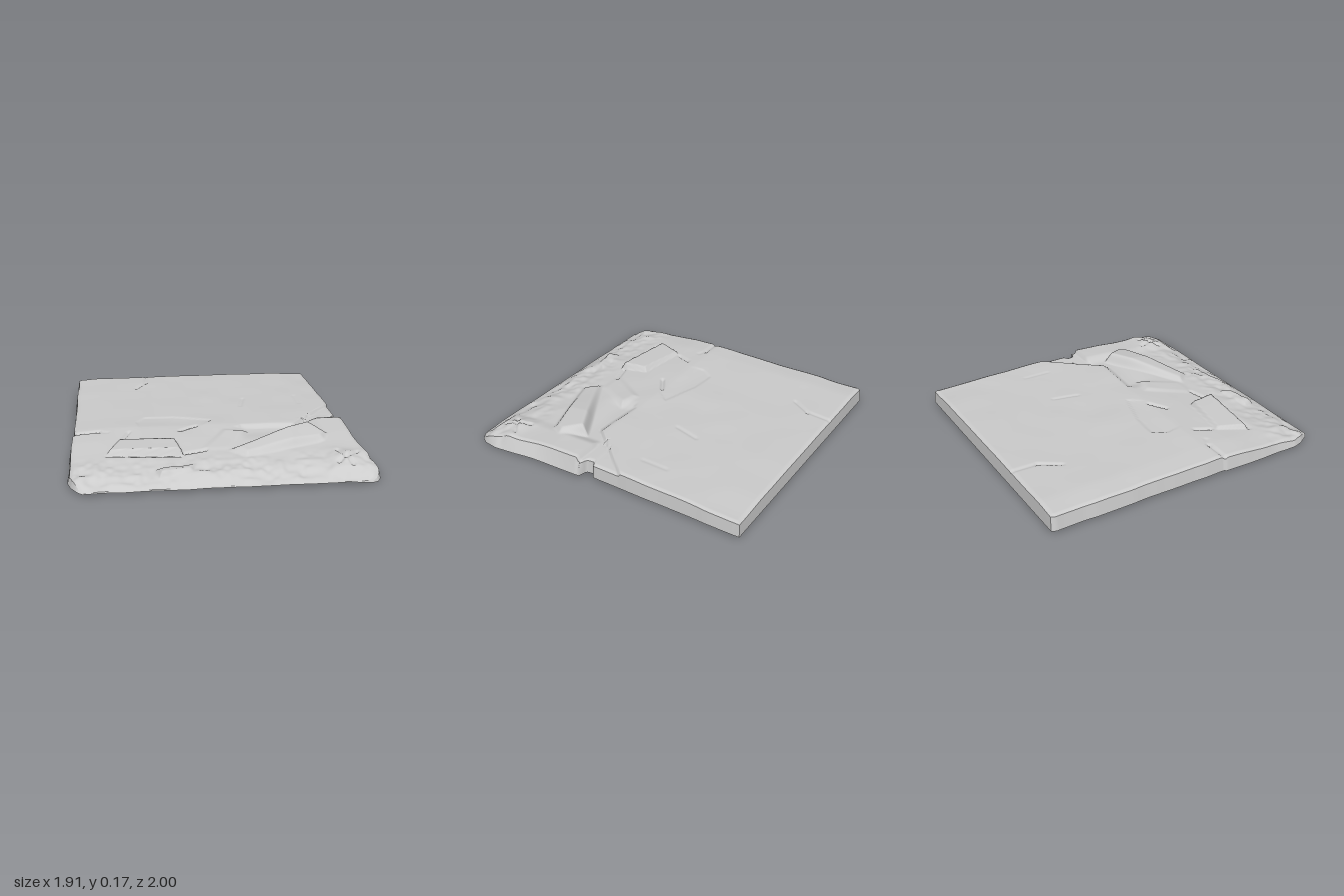
import * as THREE from 'three';

const N = 180; // grid cells per side
const lerp = THREE.MathUtils.lerp, smooth = THREE.MathUtils.smoothstep;

// piecewise linear lookup in [position, value] pairs
function table(pairs, t) {
  if (t <= pairs[0][0]) return pairs[0][1];
  for (let i = 1; i < pairs.length; i++) {
    const [a, p] = pairs[i - 1], [b, q] = pairs[i];
    if (t <= b) return lerp(p, q, (t - a) / (b - a));
  }
  return pairs[pairs.length - 1][1];
}

// smooth value noise, -1..1
function hash(i, j) {
  const s = Math.sin(i * 127.1 + j * 311.7) * 43758.5453;
  return 2 * (s - Math.floor(s)) - 1;
}
function noise(x, z) {
  const i = Math.floor(x), j = Math.floor(z);
  const a = smooth(x - i, 0, 1), b = smooth(z - j, 0, 1);
  return lerp(lerp(hash(i, j), hash(i + 1, j), a), lerp(hash(i, j + 1), hash(i + 1, j + 1), a), b);
}

// depth inside a convex polygon (corners clockwise as seen from above)
function inside(poly, x, z) {
  let d = Infinity;
  poly.forEach(([ax, az], i) => {
    const [bx, bz] = poly[(i + 1) % poly.length];
    d = Math.min(d, ((bx - ax) * (z - az) - (bz - az) * (x - ax)) / Math.hypot(bx - ax, bz - az));
  });
  return d;
}
function segmentDistance(ax, az, bx, bz, x, z) {
  const dx = bx - ax, dz = bz - az;
  const t = THREE.MathUtils.clamp(((x - ax) * dx + (z - az) * dz) / (dx * dx + dz * dz), 0, 1);
  return Math.hypot(x - ax - t * dx, z - az - t * dz);
}

// outline, back to front
const LEFT = [[-0.99, -0.935], [-0.96, -0.95], [0.25, -0.95], [0.26, -0.96], [0.83, -0.96], [0.9, -0.94], [0.97, -0.9], [1, -0.87]];
const RIGHT = [[-0.99, 0.86], [0.065, 0.87], [0.075, 0.835], [0.135, 0.845], [0.145, 0.905], [0.5, 0.925], [0.83, 0.952], [0.93, 0.94], [0.98, 0.91], [1, 0.87]];
const INSET = [[0.07, 0.008], [0.14, 0.01], [0.16, 0.03], [0.5, 0.045], [0.8, 0.04], [0.9, 0.012]];

// general fall of the surface towards the broken front
const FALL = [[-1, 0.122], [-0.3, 0.125], [0.2, 0.127], [0.4, 0.115], [0.6, 0.1], [0.8, 0.085], [0.88, 0.072], [0.95, 0.042], [1, 0.016]];
const RIGHT_BLOCK = [[0.15, 0.138], [0.4, 0.128], [0.65, 0.108], [0.82, 0.092], [0.9, 0.07], [0.96, 0.035], [1, 0.014]];

// loose stones: outline, edge width, height rule
const STONES = [
  { poly: [[-0.64, 0.42], [-0.29, 0.47], [-0.26, 0.65], [-0.71, 0.6]], edge: 0.014, top: (x, z) => 0.132 + 0.035 * (x + 0.6) + 0.01 * (0.55 - z) },
  { poly: [[0.08, 0.62], [0.61, 0.33], [0.69, 0.46], [0.66, 0.52], [0.15, 0.69]], edge: 0.035, top: (x, z) => Math.min(0.172, 0.128 + 0.13 * (x - 0.12)) - 0.16 * Math.max(0, z - 0.62 + 0.55 * (x - 0.08) - 0.03) },
  { poly: [[0.06, 0.32], [0.17, 0.34], [0.05, 0.58], [-0.1, 0.58]], edge: 0.04, top: (x, z) => 0.132 - 0.1 * (z - 0.32) },
  { poly: [[-0.42, 0.83], [-0.2, 0.8], [-0.22, 0.85], [-0.4, 0.89]], edge: 0.02, top: () => 0.096 },
];
// cracks: two ends, depth
const CRACKS = [
  [-0.96, 0.255, -0.78, 0.245, 0.012], [-0.78, 0.245, -0.72, 0.27, 0.006], [-0.62, 0.38, -0.58, 0.28, 0.012],
  [-0.24, 0.28, -0.13, 0.21, 0.014], [-0.24, 0.63, -0.1, 0.59, 0.014], [-0.72, 0.62, -0.27, 0.66, 0.01],
  [-0.41, -0.97, -0.42, -0.8, 0.007], [-0.42, -0.8, -0.5, -0.67, 0.008], [0.27, -0.33, 0.23, -0.16, 0.006],
  [0.66, -0.36, 0.66, -0.18, 0.004], [0.18, 0.235, 0.52, 0.255, 0.012], [0.72, 0.7, 0.78, 0.88, 0.014], [0.7, 0.84, 0.84, 0.74, 0.012],
];
const SHELF = [[-0.53, 0.1], [-0.47, 0.005], [-0.28, 0.015], [0, 0.1], [-0.15, 0.3], [-0.5, 0.3]];

function height(x, z) {
  let h = table(FALL, z) - 0.012 * smooth(x, 0.3, 0.86) * smooth(-z, 0.2, 1);
  h -= 0.01 * smooth(-x, 0.75, 0.96);
  h -= 0.006 * smooth(inside(SHELF, x, z), 0, 0.012) * (1 - smooth(z, 0.08, 0.25));

  // broken lip in front of the sound surface
  const lip = x < 0.52 ? 0.235 + 0.06 * (x - 0.18) : 0.255 - 1.2 * (x - 0.52);
  h -= 0.02 * smooth(z - lip, 0, 0.02) * smooth(x, 0.1, 0.22) * (1 - smooth(z, 0.3, 0.5));

  // raised corner block and the gap behind it
  const block = smooth(x, 0.62, 0.72) * smooth(z, 0.165, 0.18);
  h = lerp(h, table(RIGHT_BLOCK, z), block);
  const gap = smooth(x, 0.655, 0.67) * smooth(z, 0.065, 0.08) * (1 - smooth(z, 0.165, 0.18));
  h = lerp(h, 0.108, gap);

  for (const { poly, edge, top } of STONES) {
    const w = smooth(inside(poly, x, z), -edge, edge * 0.4);
    if (w > 0) h = lerp(h, Math.max(h, top(x, z)), w);
  }
  for (const [ax, az, bx, bz, depth] of CRACKS) {
    h -= depth * (1 - smooth(segmentDistance(ax, az, bx, bz, x, z), 0, 0.022));
  }

  // small lumps, stronger at the crumbled front
  const rough = smooth(z, 0.6, 0.85) * (1 - smooth(z, 0.93, 1));
  h += 0.003 * noise(x * 5, z * 5) + rough * (0.014 * noise(x * 9 + 4, z * 11) + 0.007 * noise(x * 24, z * 24));
  h += 0.022 * Math.exp(-(((x - 0.74) / 0.1) ** 2) - ((z - 0.78) / 0.09) ** 2);
  return h;
}

// plan position on the outline; inset 1 = upper rim, 0 = foot
function plan(u, v, inset) {
  const z0 = lerp(-0.99 + 0.006 * inset, 1 - 0.004 * inset, v);
  const wobble = 0.004 * noise(z0 * 9, 3);
  const left = table(LEFT, z0) + 0.014 * inset + wobble;
  const right = table(RIGHT, z0) - table(INSET, z0) * inset + wobble * 0.5;
  const x = lerp(left, right, u);
  const z = z0 - 0.011 * x * (1 - smooth(v, 0, 0.3)) + 0.004 * noise(x * 8, 7) * smooth(v, 0.9, 1) - 0.004 * smooth(v, 0.9, 1);
  return [x, z];
}
const foot = (x, z) => 0.015 - 0.015 * smooth(x, 0.7, 0.92) * smooth(z, 0.5, 0.85);
function rimHeight(u, v) {
  const [x, z] = plan(u, v, 1);
  const edge = Math.min(u, 1 - u, v) * 1.85;
  return Math.max(foot(x, z) + 0.004, height(x, z) - 0.008 * (1 - smooth(edge, 0, 0.022)));
}

function sheet(positions, rows, cols, material, name) {
  const index = [];
  for (let j = 0; j < rows - 1; j++) for (let i = 0; i < cols - 1; i++) {
    const a = j * cols + i, b = a + 1, c = a + cols, d = c + 1;
    index.push(a, c, b, b, c, d);
  }
  const g = new THREE.BufferGeometry();
  g.setAttribute('position', new THREE.Float32BufferAttribute(positions, 3));
  g.setIndex(index);
  g.computeVertexNormals();
  const mesh = new THREE.Mesh(g, material);
  mesh.name = name;
  return mesh;
}

export function createModel() {
  const group = new THREE.Group();
  group.name = 'brokenStoneSlab';
  const material = new THREE.MeshStandardMaterial({ color: 0xcccccc, side: THREE.DoubleSide });

  // worn upper surface
  const top = [];
  for (let j = 0; j <= N; j++) for (let i = 0; i <= N; i++) {
    const u = i / N, v = j / N, [x, z] = plan(u, v, 1);
    top.push(x, rimHeight(u, v), z);
  }
  group.add(sheet(top, N + 1, N + 1, material, 'slabSurface'));

  // four side walls, open underneath
  const sides = {
    frontEdge: t => [t, 1], rightEdge: t => [1, 1 - t], backEdge: t => [1 - t, 0], leftEdge: t => [0, t],
  };
  for (const [name, path] of Object.entries(sides)) {
    const wall = [], rows = 5;
    for (let j = 0; j < rows; j++) for (let i = 0; i <= N; i++) {
      const [u, v] = path(i / N), k = j / (rows - 1);
      const [x, z] = plan(u, v, 1 - k);
      wall.push(x, lerp(rimHeight(u, v), foot(x, z), k), z);
    }
    group.add(sheet(wall, rows, N + 1, material, name));
  }
  return group;
}
